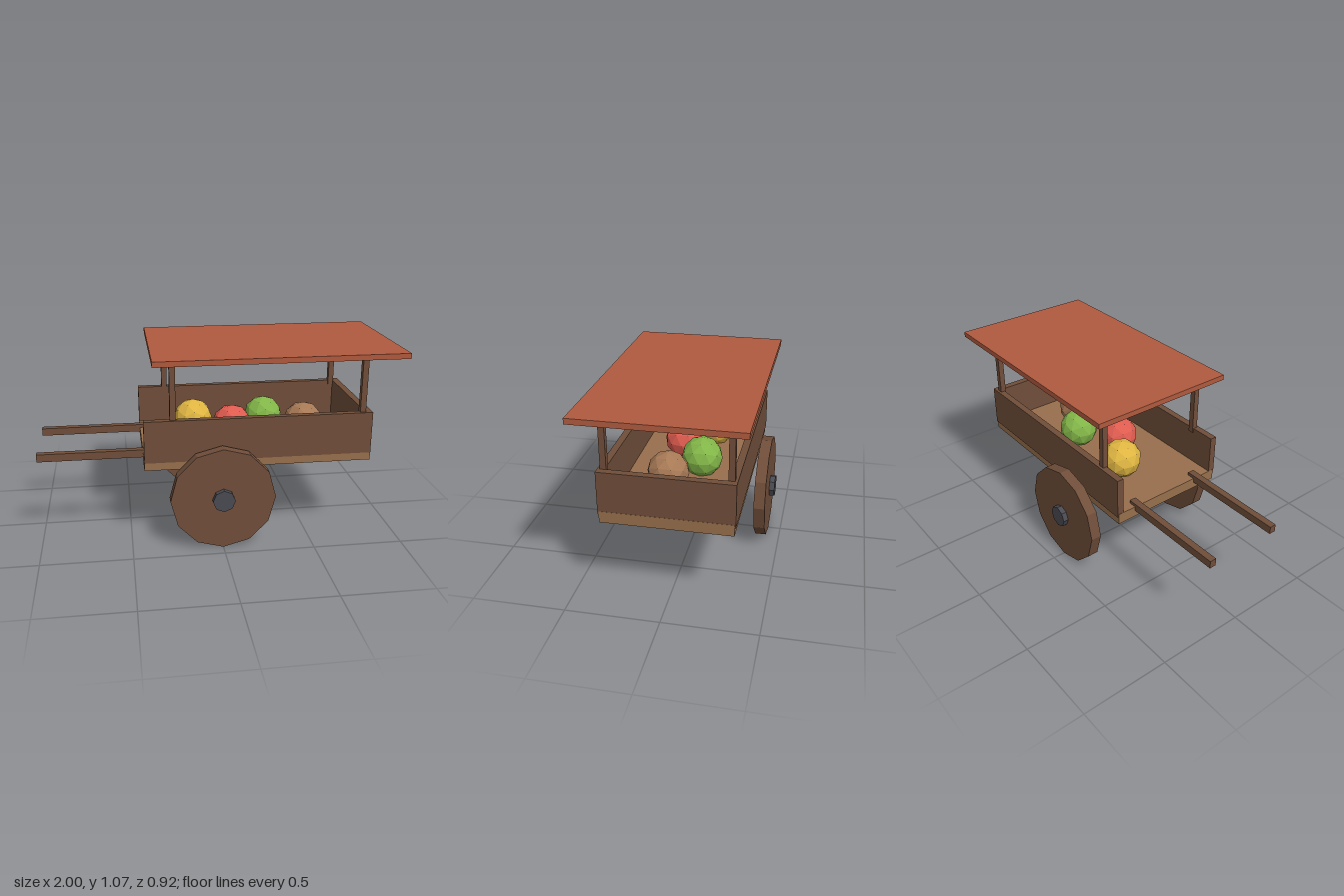
import * as THREE from 'three';

const mat = (name, color) => {
  const m = new THREE.MeshStandardMaterial({ color, flatShading: true });
  m.name = name;
  return m;
};

export function createModel() {
  const cart = new THREE.Group();
  cart.name = 'marketCart';

  const darkWood = mat('darkWood', 0x704e3a);
  const lightWood = mat('lightWood', 0x976f4c);
  const canopyRed = mat('canopyRed', 0xb05a3e);
  const iron = mat('iron', 0x4a4a52);

  const add = (name, geometry, material) => {
    const mesh = new THREE.Mesh(geometry, material);
    mesh.name = name;
    cart.add(mesh);
    return mesh;
  };

  // Box given by its extents on each axis
  const box = (name, material, [x0, x1], [y0, y1], [z0, z1]) =>
    add(name, new THREE.BoxGeometry(x1 - x0, y1 - y0, z1 - z0), material)
      .position.set((x0 + x1) / 2, (y0 + y1) / 2, (z0 + z1) / 2);

  // Wheel or hub: a faceted disc lying across z
  const disc = (name, material, radius, sides, z0, z1) => {
    const geometry = new THREE.CylinderGeometry(radius, radius, z1 - z0, sides);
    geometry.rotateX(Math.PI / 2);
    add(name, geometry, material).position.set(0, 0.29, (z0 + z1) / 2);
  };

  // Bed, closed end and canopy
  box('bed', lightWood, [-0.421, 0.841], [0.445, 0.507], [-0.342, 0.342]);
  box('endBoard', darkWood, [0.8, 0.84], [0.5, 0.725], [-0.311, 0.311]);
  box('canopy', canopyRed, [-0.37, 1], [1.04, 1.07], [-0.422, 0.422]);

  // Mirrored parts on both sides
  for (const s of [1, -1]) {
    const span = (a, b) => (s > 0 ? [a, b] : [-b, -a]);
    box('sideBoard', darkWood, [-0.42, 0.84], [0.49, 0.725], span(0.31, 0.348));
    box('handle', darkWood, [-1, -0.375], [0.482, 0.525], span(0.193, 0.231));
    for (const x of [-0.262, 0.787]) {
      box('canopyPost', darkWood, [x - 0.016, x + 0.016], [0.7, 1.045], span(0.302, 0.334));
    }
    disc('wheel', darkWood, 0.29, 12, ...span(0.366, 0.428));
    disc('hub', iron, 0.062, 8, ...span(0.4, 0.458));
  }

  // Produce lying on the bed in a zigzag
  const produce = [
    ['yellowFruit', 0xe0b642, -0.11, -0.08],
    ['redFruit', 0xe05c50, 0.1, 0.06],
    ['greenFruit', 0x82b648, 0.31, -0.08],
    ['brownFruit', 0xa87a56, 0.52, 0.06],
  ];
  for (const [name, color, x, z] of produce) {
    add(name, new THREE.IcosahedronGeometry(0.112, 1), mat(name + 'Skin', color)).position.set(x, 0.597, z);
  }

  return cart;
}
